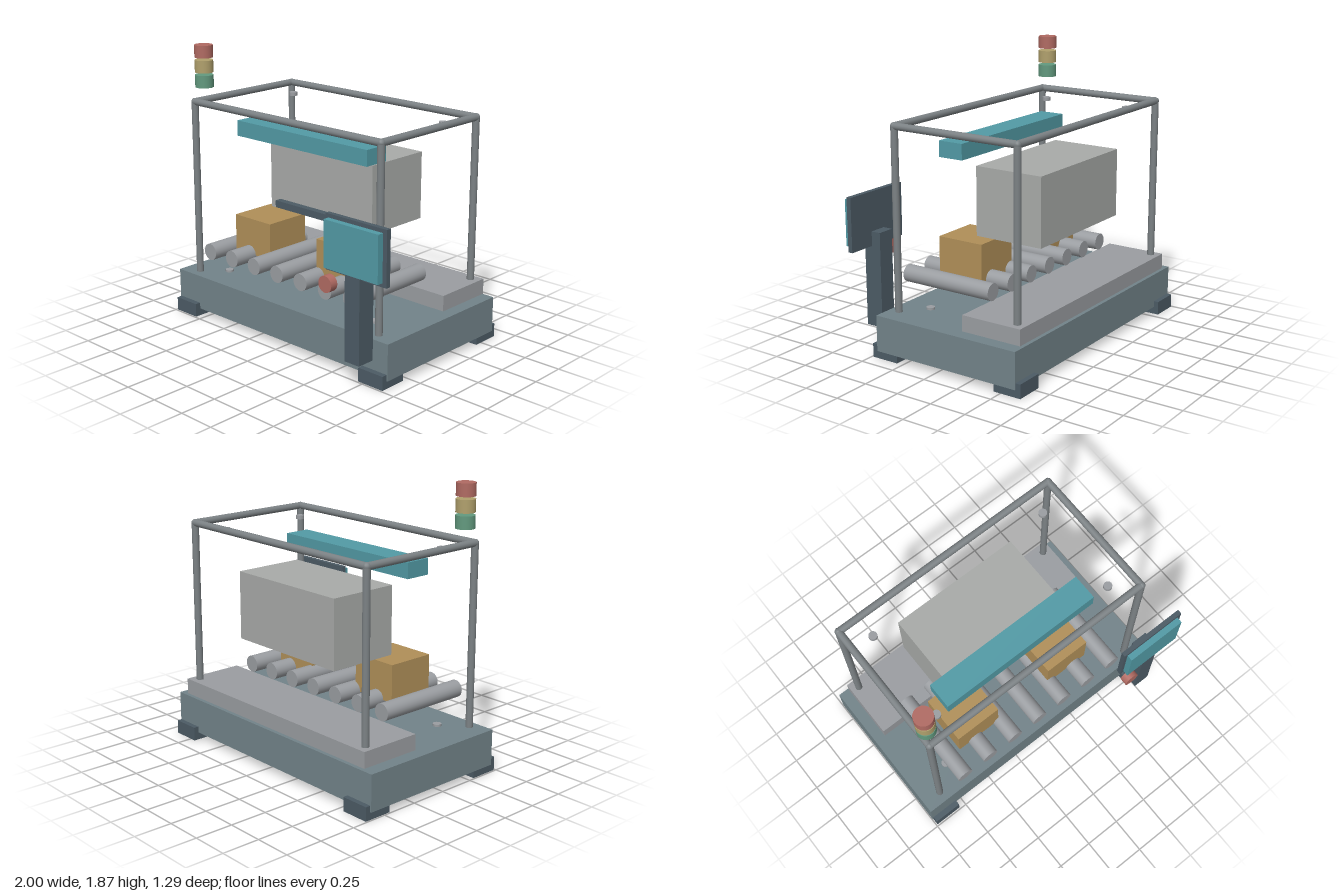
import * as THREE from 'three';

const mat = (color) => new THREE.MeshStandardMaterial({ color });
const M = {
  base: mat(0x728389), dark: mat(0x4c5b65), steel: mat(0x9a9da1), tube: mat(0x7c8285),
  housing: mat(0xa8aaa8), teal: mat(0x529aa5), carton: mat(0xb08f58),
  red: mat(0xb06a62), yellow: mat(0xb0a06c), green: mat(0x62997e),
};

export function createModel() {
  const root = new THREE.Group();
  root.name = 'conveyorMachine';

  const add = (name, geometry, material, x, y, z) => {
    const mesh = new THREE.Mesh(geometry, material);
    mesh.name = name;
    mesh.position.set(x, y, z);
    root.add(mesh);
    return mesh;
  };
  // Box given by its limits on each axis
  const box = (name, material, [x0, x1], [y0, y1], [z0, z1]) =>
    add(name, new THREE.BoxGeometry(x1 - x0, y1 - y0, z1 - z0), material,
      (x0 + x1) / 2, (y0 + y1) / 2, (z0 + z1) / 2);
  // Round bar of a given length along one axis
  const rod = (name, material, r, length, axis, x, y, z, sides = 24) => {
    const g = new THREE.CylinderGeometry(r, r, length, sides);
    if (axis === 'x') g.rotateZ(Math.PI / 2);
    if (axis === 'z') g.rotateX(Math.PI / 2);
    return add(name, g, material, x, y, z);
  };

  // Base, feet and rear plate
  box('base', M.base, [-1, 0.908], [0.05, 0.29], [-0.61, 0.45]);
  for (const x of [-0.894, 0.805])
    for (const z of [-0.547, 0.392])
      box('foot', M.dark, [x - 0.097, x + 0.097], [0, 0.092], [z - 0.097, z + 0.097]);
  box('rearPlate', M.steel, [-0.925, 0.835], [0.298, 0.403], [-0.596, -0.172]);

  // Tubular frame with rounded corner joints
  const r = 0.024, top = 1.49, xs = [-0.868, 0.773], zs = [-0.535, 0.377];
  for (const x of xs)
    for (const z of zs) {
      rod('framePost', M.tube, r, top - 0.28, 'y', x, (top + 0.28) / 2, z, 12);
      add('frameJoint', new THREE.SphereGeometry(r * 1.05, 12, 8), M.tube, x, top, z);
    }
  for (const z of zs)
    rod('frameLongRail', M.tube, r, xs[1] - xs[0], 'x', (xs[0] + xs[1]) / 2, top, z, 12);
  for (const x of xs)
    rod('frameSideRail', M.tube, r, zs[1] - zs[0], 'z', x, top, (zs[0] + zs[1]) / 2, 12);

  // Small discs on the base and under the frame top
  for (const x of [-0.715, 0.62])
    for (const z of [-0.397, 0.242])
      for (const y of [0.292, 1.448])
        rod('fasteningDisc', M.steel, 0.028, 0.025, 'y', x, y, z, 16);

  // Conveyor rollers and the cartons riding on them
  for (let i = 0; i < 7; i++)
    rod('roller', M.steel, 0.057, 0.666, 'z', -0.685 + i * 0.2125, 0.488, 0.106);
  for (const x of [-0.605, 0.151])
    box('carton', M.carton, [x, x + 0.33], [0.485, 0.735], [-0.06, 0.272]);

  // Housing, scanner strip and overhead light bar
  box('housing', M.housing, [-0.505, 0.406], [0.76, 1.215], [-0.456, 0.03]);
  box('scannerStrip', M.dark, [-0.411, 0.316], [0.784, 0.832], [0.036, 0.084]);
  box('lightBar', M.teal, [-0.622, 0.529], [1.27, 1.375], [0.048, 0.225]);

  // Control panel on its stand with a stop button
  box('panelStand', M.dark, [0.7, 0.816], [0.17, 0.802], [0.481, 0.605]);
  box('panelFrame', M.dark, [0.52, 1], [0.706, 1.06], [0.548, 0.58]);
  box('panelScreen', M.teal, [0.545, 0.97], [0.732, 1.035], [0.58, 0.622]);
  rod('stopButton', M.red, 0.053, 0.053, 'z', 0.576, 0.64, 0.6185);

  // Signal light stack
  [['greenLamp', M.green], ['yellowLamp', M.yellow], ['redLamp', M.red]].forEach(([name, m], i) =>
    rod(name, m, 0.062, 0.083, 'y', -0.837, 1.627 + i * 0.1, 0.316));

  return root;
}
